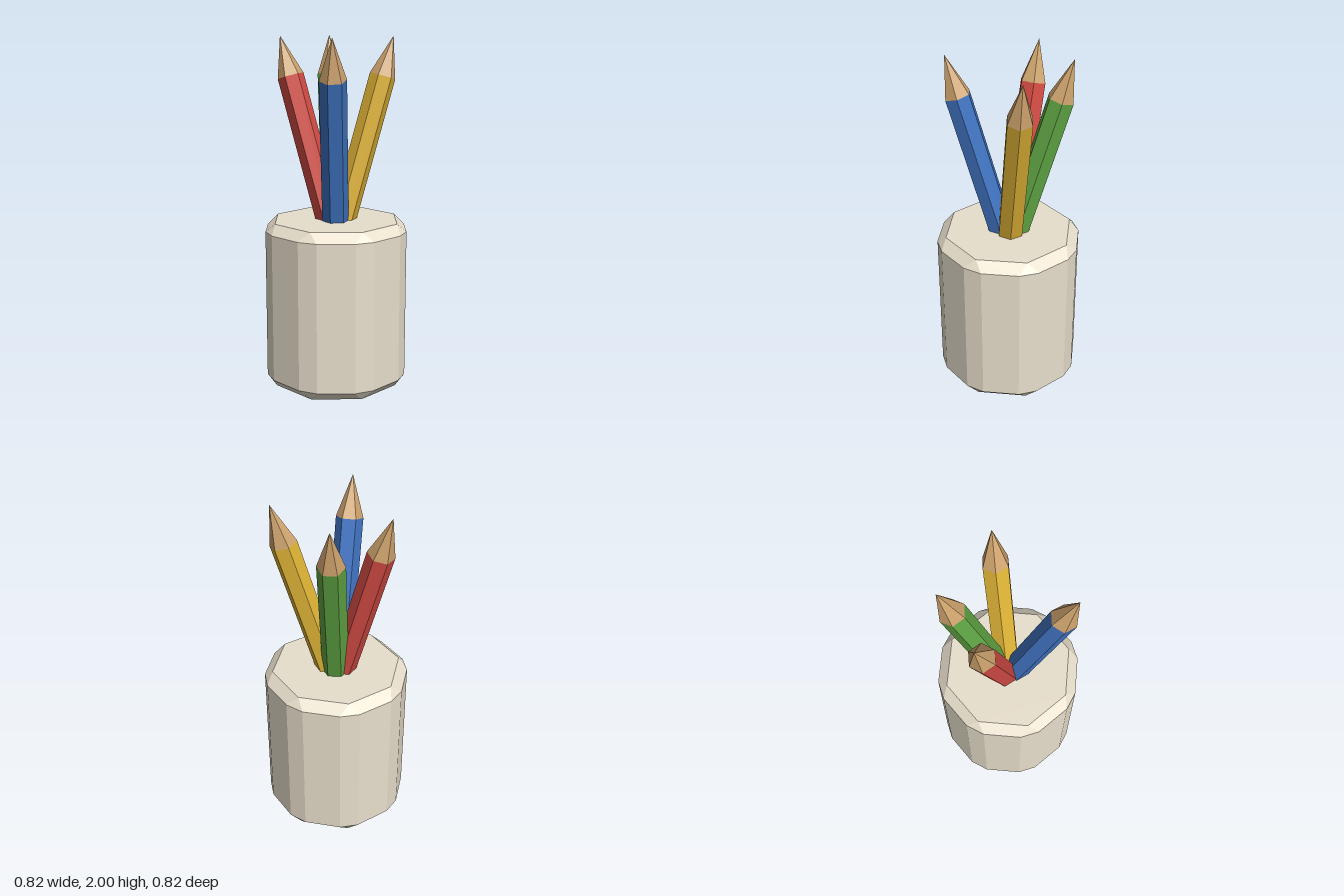
import * as THREE from 'three';
import { ConvexGeometry } from 'three/addons/geometries/ConvexGeometry.js';

const paint = (color) => new THREE.MeshStandardMaterial({ color, flatShading: true });

// Points on an eight-fold ring; each corner is split in two when spread > 0
function ring(radius, y, spread = 0) {
  const points = [];
  for (let i = 0; i < 8; i++) {
    for (const side of spread ? [-1, 1] : [0]) {
      const a = (i * Math.PI) / 4 + side * spread;
      points.push(new THREE.Vector3(radius * Math.sin(a), y, radius * Math.cos(a)));
    }
  }
  return points;
}

// Solid cup: octagonal caps chamfered out to a sixteen-sided wall
function createCup() {
  const spread = 0.1334;
  const geometry = new ConvexGeometry([
    ...ring(0.371, 0),
    ...ring(0.4137, 0.057, spread),
    ...ring(0.4137, 0.912, spread),
    ...ring(0.371, 0.964),
  ]);
  const cup = new THREE.Mesh(geometry, paint(0xe8dfcc));
  cup.name = 'cup';
  return cup;
}

// Six-sided pencil leaning out from a shared pivot inside the cup
function createPencil(name, color, azimuthDegrees, wood) {
  const radius = 0.076, bottom = -0.3, shoulder = 1.0085, tip = 1.2426;
  const pencil = new THREE.Group();
  pencil.name = name;

  const shaft = new THREE.Mesh(
    new THREE.CylinderGeometry(radius, radius, shoulder - bottom, 6), paint(color));
  shaft.name = 'pencilShaft';
  shaft.position.y = (shoulder + bottom) / 2;

  const point = new THREE.Mesh(
    new THREE.ConeGeometry(radius, tip - shoulder, 6, 1, true), wood);
  point.name = 'pencilTip';
  point.position.y = (tip + shoulder) / 2;
  pencil.add(shaft, point);

  const a = THREE.MathUtils.degToRad(azimuthDegrees);
  const lean = new THREE.Vector3(0.344 * Math.sin(a), 1.194, 0.344 * Math.cos(a)).normalize();
  pencil.quaternion.setFromUnitVectors(new THREE.Vector3(0, 1, 0), lean);
  pencil.position.y = 0.806;
  return pencil;
}

export function createModel() {
  const model = new THREE.Group();
  model.name = 'pencilCup';
  model.add(createCup());

  const wood = paint(0xcda26c);
  const pencils = [
    ['bluePencil', 0x4175c4, 19],
    ['yellowPencil', 0xe0b437, 131],
    ['greenPencil', 0x62a845, 209],
    ['redPencil', 0xd64d45, 270],
  ];
  for (const [name, color, azimuth] of pencils) {
    model.add(createPencil(name, color, azimuth, wood));
  }
  return model;
}
